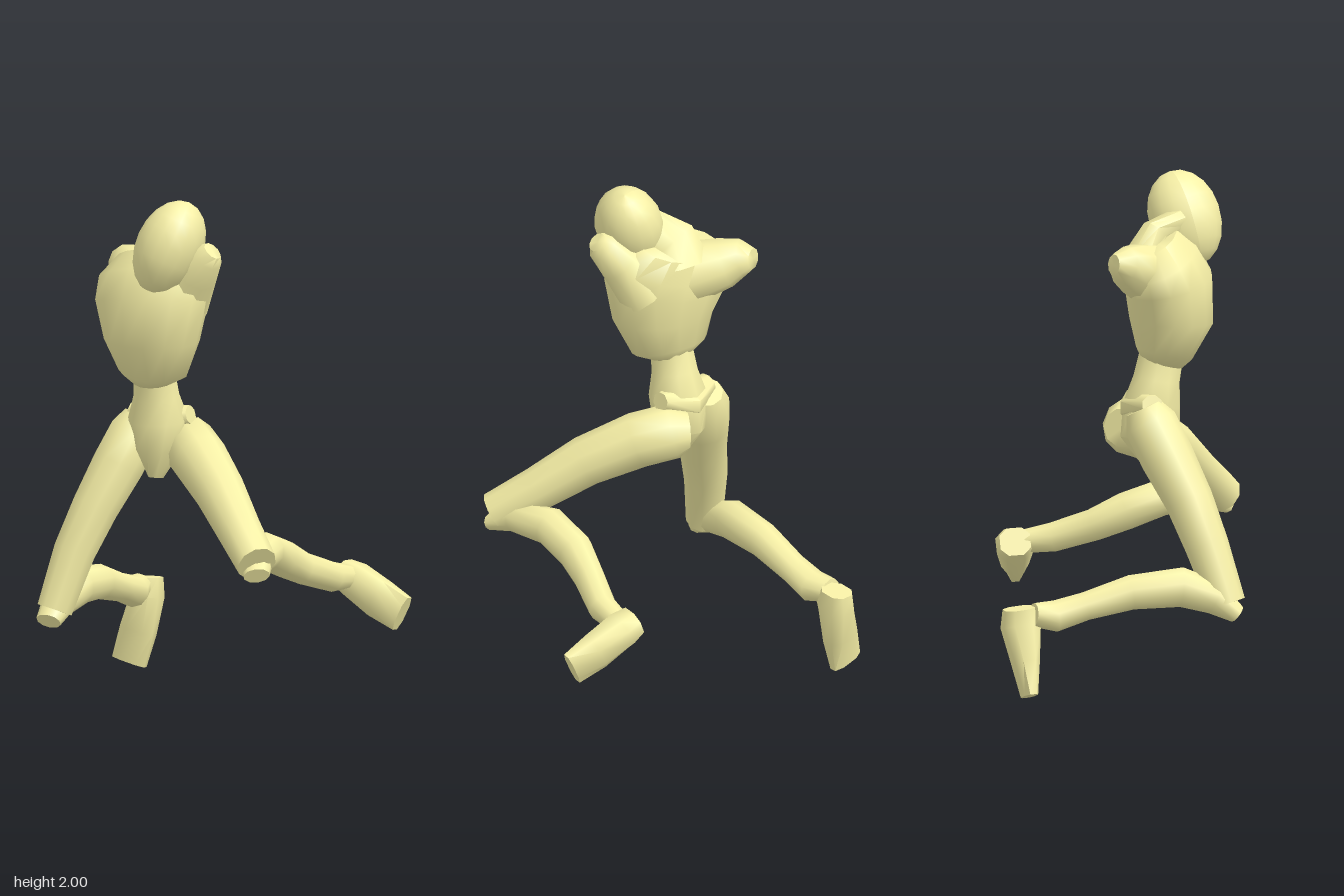
import * as THREE from 'three';
import { toCreasedNormals } from 'three/addons/utils/BufferGeometryUtils.js';

const material = new THREE.MeshStandardMaterial({ color: 0xf6efa6 });
const V = (x, y, z) => new THREE.Vector3(x, y, z);

// Skin through oval sections [x, y, z, a, b]; a lies along ref, b across it.
function loft(name, sections, { ref = V(1, 0, 0), sides = 10, power = 1 } = {}) {
  const centres = sections.map(s => V(s[0], s[1], s[2]));
  const n = sections.length;
  const positions = [], index = [];
  const soften = c => Math.sign(c) * Math.pow(Math.abs(c), power);
  const grow = 1 / soften(Math.cos(Math.PI / sides)); // flats reach the full radius
  sections.forEach(([, , , a, b = a], i) => {
    const t = centres[Math.min(i + 1, n - 1)].clone().sub(centres[Math.max(i - 1, 0)]).normalize();
    const u = ref.clone().addScaledVector(t, -ref.dot(t)).normalize();
    const v = t.clone().cross(u);
    for (let j = 0; j < sides; j++) {
      const ang = (j + 0.5) / sides * Math.PI * 2;
      const p = centres[i].clone()
        .addScaledVector(u, grow * a * soften(Math.cos(ang)))
        .addScaledVector(v, grow * b * soften(Math.sin(ang)));
      positions.push(p.x, p.y, p.z);
    }
  });
  for (let i = 0; i < n - 1; i++) {
    for (let j = 0; j < sides; j++) {
      const k = (j + 1) % sides;
      const a = i * sides + j, b = i * sides + k, c = b + sides, d = a + sides;
      index.push(a, b, c, a, c, d);
    }
  }
  // end caps
  const start = n * sides, end = start + 1, last = (n - 1) * sides;
  positions.push(...centres[0].toArray(), ...centres[n - 1].toArray());
  for (let j = 0; j < sides; j++) {
    const k = (j + 1) % sides;
    index.push(start, k, j, end, last + j, last + k);
  }
  const geometry = new THREE.BufferGeometry();
  geometry.setAttribute('position', new THREE.Float32BufferAttribute(positions, 3));
  geometry.setIndex(index);
  const mesh = new THREE.Mesh(toCreasedNormals(geometry, 1), material);
  mesh.name = name;
  return mesh;
}

function makeHead() {
  const geometry = new THREE.SphereGeometry(1, 16, 10);
  const p = geometry.attributes.position;
  for (let i = 0; i < p.count; i++) {
    const y = p.getY(i);
    p.setXYZ(i, p.getX(i) * 0.13, y * (y < 0 ? 0.2 : 0.187), p.getZ(i) * 0.144); // longer chin
  }
  geometry.computeVertexNormals();
  const head = new THREE.Mesh(geometry, material);
  head.name = 'head';
  head.position.set(-0.138, 1.82, 0.25);
  head.quaternion.setFromUnitVectors(V(0, 1, 0), V(0.14, 0.36, -0.09).normalize());
  return head;
}

export function createModel() {
  const model = new THREE.Group();
  model.name = 'kneelingFigure';
  const chestLine = V(0.93, 0, 0.36);
  const shoulderLine = V(0.82, 0, 0.58);
  const zAxis = V(0, 0, 1);

  // Upper body, turned towards its right
  model.add(makeHead());
  model.add(loft('torso', [
    [-0.25, 1.26, 0.13, 0.08, 0.08],
    [-0.25, 1.30, 0.14, 0.15, 0.11],
    [-0.245, 1.43, 0.17, 0.20, 0.162],
    [-0.25, 1.58, 0.158, 0.25, 0.17],
    [-0.255, 1.67, 0.125, 0.25, 0.148],
    [-0.26, 1.75, 0.09, 0.17, 0.10],
  ], { ref: chestLine, sides: 14 }));
  model.add(loft('neck', [
    [-0.24, 1.68, 0.09, 0.13, 0.10],
    [-0.235, 1.765, 0.11, 0.10, 0.06],
    [-0.19, 1.805, 0.20, 0.085, 0.05],
  ], { ref: shoulderLine }));
  model.add(loft('rightShoulder', [
    [-0.30, 1.62, 0.08, 0.12],
    [-0.40, 1.665, -0.02, 0.095],
    [-0.445, 1.69, -0.07, 0.07],
    [-0.46, 1.695, -0.115, 0.04],
  ], { ref: V(0, 1, 0) }));
  model.add(loft('leftShoulder', [
    [-0.14, 1.58, 0.16, 0.12],
    [-0.045, 1.71, 0.21, 0.085],
    [0.015, 1.785, 0.24, 0.062],
    [0.04, 1.81, 0.245, 0.038],
  ], { ref: V(0, 1, 0) }));

  // Waist and tapering pelvis
  model.add(loft('pelvis', [
    [-0.255, 0.87, 0.10, 0.025, 0.05],
    [-0.25, 0.98, 0.085, 0.085, 0.115],
    [-0.25, 1.10, 0.09, 0.115, 0.11],
    [-0.25, 1.20, 0.11, 0.085, 0.09],
    [-0.25, 1.30, 0.13, 0.075, 0.085],
  ]));
  model.add(loft('hips', [
    [-0.38, 1.12, 0.06, 0.035, 0.04],
    [-0.25, 1.09, 0.05, 0.06, 0.085],
    [-0.125, 1.12, 0.06, 0.035, 0.04],
  ], { ref: V(0, 1, 0), sides: 8 }));

  // Left leg, knee swung forward and out
  model.add(loft('leftThigh', [
    [-0.20, 1.00, -0.015, 0.075],
    [-0.155, 1.00, 0.015, 0.105],
    [-0.06, 0.955, 0.12, 0.105],
    [0.08, 0.86, 0.265, 0.095],
    [0.215, 0.735, 0.40, 0.083],
    [0.335, 0.63, 0.52, 0.076],
  ], { ref: V(0, 1, 0) }));
  model.add(loft('leftShin', [
    [0.34, 0.585, 0.535, 0.05, 0.03],
    [0.30, 0.63, 0.44, 0.065, 0.058],
    [0.272, 0.638, 0.27, 0.075, 0.07],
    [0.28, 0.587, 0.12, 0.07, 0.072],
    [0.32, 0.53, 0.00, 0.058, 0.062],
    [0.39, 0.475, -0.15, 0.054, 0.056],
    [0.41, 0.46, -0.26, 0.045],
  ]));
  model.add(loft('leftFoot', [
    [0.37, 0.467, -0.305, 0.06, 0.055],
    [0.425, 0.445, -0.295, 0.072, 0.066],
    [0.54, 0.38, -0.268, 0.055, 0.075],
    [0.645, 0.33, -0.243, 0.03, 0.072],
  ], { ref: zAxis, sides: 8, power: 0.8 }));

  // Right leg, kneeling with the foot hanging down behind
  model.add(loft('rightThigh', [
    [-0.34, 1.10, 0.035, 0.07],
    [-0.355, 1.04, 0.06, 0.10],
    [-0.41, 0.91, 0.115, 0.10],
    [-0.478, 0.75, 0.185, 0.09],
    [-0.543, 0.58, 0.24, 0.082],
    [-0.60, 0.355, 0.307, 0.07],
  ], { ref: zAxis }));
  model.add(loft('rightShin', [
    [-0.61, 0.315, 0.345, 0.05, 0.035],
    [-0.60, 0.38, 0.26, 0.065, 0.062],
    [-0.575, 0.425, 0.13, 0.073, 0.075],
    [-0.56, 0.41, -0.07, 0.066, 0.066],
    [-0.545, 0.36, -0.25, 0.06, 0.054],
    [-0.54, 0.325, -0.37, 0.065, 0.06],
    [-0.55, 0.335, -0.46, 0.05, 0.045],
  ]));
  model.add(loft('rightFoot', [
    [-0.53, 0.36, -0.515, 0.06, 0.052],
    [-0.53, 0.29, -0.508, 0.075, 0.058],
    [-0.565, 0.15, -0.497, 0.05, 0.07],
    [-0.60, 0.022, -0.49, 0.027, 0.07],
  ], { ref: zAxis, sides: 8, power: 0.8 }));

  return model;
}
